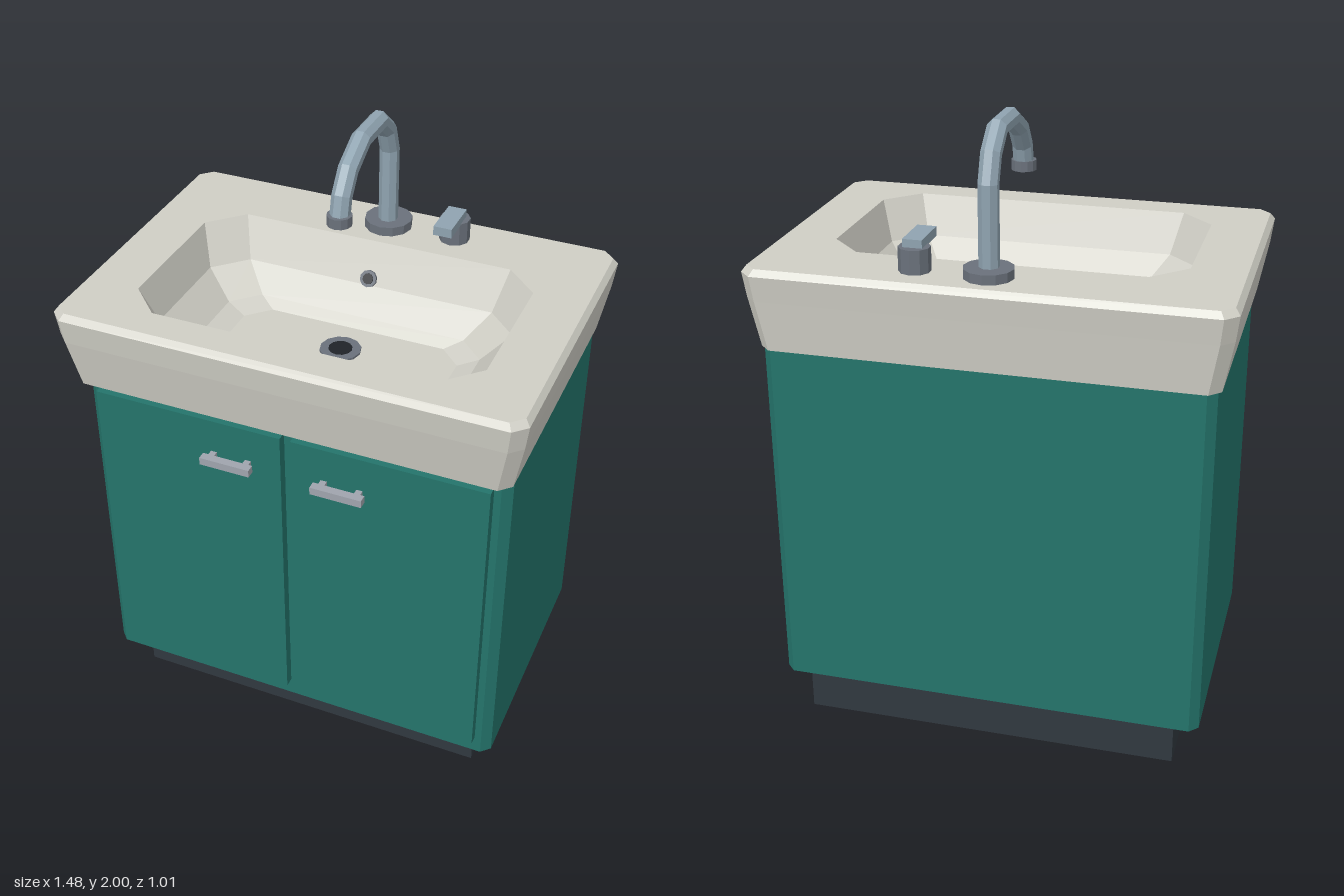
import * as THREE from 'three';

const mat = (name, color) => {
  const m = new THREE.MeshStandardMaterial({ color });
  m.name = name;
  return m;
};

// Joins closed rings of equal length into a flat-faceted, capped solid.
function loft(rings) {
  const n = rings[0].length, pos = rings.flat(2), idx = [];
  for (let r = 0; r < rings.length - 1; r++) {
    for (let j = 0; j < n; j++) {
      const a = r * n + j, b = r * n + (j + 1) % n;
      idx.push(a, b, b + n, a, b + n, a + n);
    }
  }
  const last = (rings.length - 1) * n;
  for (let j = 1; j < n - 1; j++) {
    idx.push(0, j + 1, j, last, last + j, last + j + 1);
  }
  let g = new THREE.BufferGeometry();
  g.setAttribute('position', new THREE.Float32BufferAttribute(pos, 3));
  g.setIndex(idx);
  g = g.toNonIndexed();
  g.computeVertexNormals();
  return g;
}

// Rectangle with cut corners: half width, back z, front z, corner cut, height.
const cutRect = (w, zb, zf, c, y) => [
  [w, y, zf - c], [w, y, zb + c], [w - c, y, zb], [c - w, y, zb],
  [-w, y, zb + c], [-w, y, zf - c], [c - w, y, zf], [w - c, y, zf],
];

// Faceted pipe along [z, y] points in the x = 0 plane.
function pipe(points, radius, sides) {
  return loft(points.map(([z, y], i) => {
    const a = points[Math.max(i - 1, 0)], b = points[Math.min(i + 1, points.length - 1)];
    const t = new THREE.Vector2(b[0] - a[0], b[1] - a[1]).normalize();
    return Array.from({ length: sides }, (_, k) => {
      const q = (k + 0.5) / sides * Math.PI * 2;
      const s = Math.sin(q) * radius;
      return [Math.cos(q) * radius, y + t.x * s, z - t.y * s];
    });
  }));
}

export function createModel() {
  const group = new THREE.Group();
  group.name = 'washbasinCabinet';

  const teal = mat('tealPaint', 0x24746b);
  const ceramic = mat('ceramic', 0xcfcec5);
  const plinthMat = mat('darkPlinth', 0x30383f);
  const chrome = mat('chrome', 0x8fa3b0);
  const darkMetal = mat('darkMetal', 0x6a717b);
  const handleMat = mat('handleMetal', 0x9fa4ad);
  const black = mat('holeBlack', 0x202328);
  for (const m of [chrome, darkMetal, black]) m.flatShading = true;

  const add = (name, geo, material, x = 0, y = 0, z = 0, parent = group) => {
    const m = new THREE.Mesh(geo, material);
    m.name = name;
    m.position.set(x, y, z);
    parent.add(m);
    return m;
  };
  const box = (name, material, x0, x1, y0, y1, z0, z1) =>
    add(name, new THREE.BoxGeometry(x1 - x0, y1 - y0, z1 - z0), material,
      (x0 + x1) / 2, (y0 + y1) / 2, (z0 + z1) / 2);
  const disc = (name, material, r, h, x, y0, z, sides = 12, parent = group) =>
    add(name, new THREE.CylinderGeometry(r, r, h, sides), material, x, y0 + h / 2, z, parent);

  // Plinth and cabinet body
  box('plinth', plinthMat, -0.61, 0.61, 0, 0.15, -0.445, 0.325);
  add('cabinetBody', loft([
    cutRect(0.69, -0.475, 0.41, 0.028, 0.147),
    cutRect(0.69, -0.475, 0.41, 0.028, 1.302),
  ]), teal);

  // Doors with bar handles on two posts
  for (const [side, s] of [['left', 1], ['right', -1]]) {
    const span = (name, m, a, b, ...rest) =>
      box(side + name, m, Math.min(s * a, s * b), Math.max(s * a, s * b), ...rest);
    span('Door', teal, 0.017, 0.64, 0.21, 1.26, 0.405, 0.442);
    span('HandleBar', handleMat, 0.1, 0.265, 1.125, 1.15, 0.465, 0.492);
    span('HandlePostInner', handleMat, 0.115, 0.135, 1.129, 1.146, 0.44, 0.467);
    span('HandlePostOuter', handleMat, 0.23, 0.25, 1.129, 1.146, 0.44, 0.467);
  }

  // Basin: outer wall up, rim across, bowl down to the floor
  add('basin', loft([
    cutRect(0.7, -0.48, 0.468, 0.035, 1.3),
    cutRect(0.73, -0.496, 0.496, 0.038, 1.46),
    cutRect(0.74, -0.505, 0.505, 0.04, 1.54),
    cutRect(0.725, -0.49, 0.49, 0.036, 1.56),
    cutRect(0.555, -0.265, 0.385, 0.105, 1.56),
    cutRect(0.515, -0.205, 0.335, 0.098, 1.43),
    cutRect(0.43, -0.145, 0.24, 0.082, 1.345),
    cutRect(0.365, -0.11, 0.2, 0.07, 1.32),
  ]), ceramic);

  // Drain in the floor
  disc('drainRing', darkMetal, 0.066, 0.008, 0, 1.319, 0.02);
  disc('drainHole', black, 0.038, 0.004, 0, 1.325, 0.02);

  // Overflow in the back wall
  const overflow = new THREE.Group();
  overflow.name = 'overflow';
  overflow.position.set(0, 1.45, -0.214);
  overflow.rotation.x = Math.atan2(0.13, 0.06);
  group.add(overflow);
  disc('overflowRing', darkMetal, 0.028, 0.014, 0, -0.004, 0, 10, overflow);
  disc('overflowHole', black, 0.018, 0.004, 0, 0.008, 0, 10, overflow);

  // Faucet: base, bent spout, nozzle
  disc('faucetBase', darkMetal, 0.077, 0.032, 0, 1.558, -0.38);
  add('faucetSpout', pipe([
    [-0.375, 1.57], [-0.375, 1.835], [-0.345, 1.915], [-0.278, 1.971],
    [-0.138, 1.971], [-0.04, 1.92], [0.008, 1.855], [0.026, 1.785],
  ], 0.0315, 8), chrome);
  disc('faucetNozzle', darkMetal, 0.039, 0.032, 0, 1.772, 0.026);

  // Single lever tap
  disc('leverBase', darkMetal, 0.049, 0.077, 0.225, 1.558, -0.38, 10);
  box('lever', chrome, 0.195, 0.255, 1.63, 1.66, -0.4, -0.258);

  return group;
}
